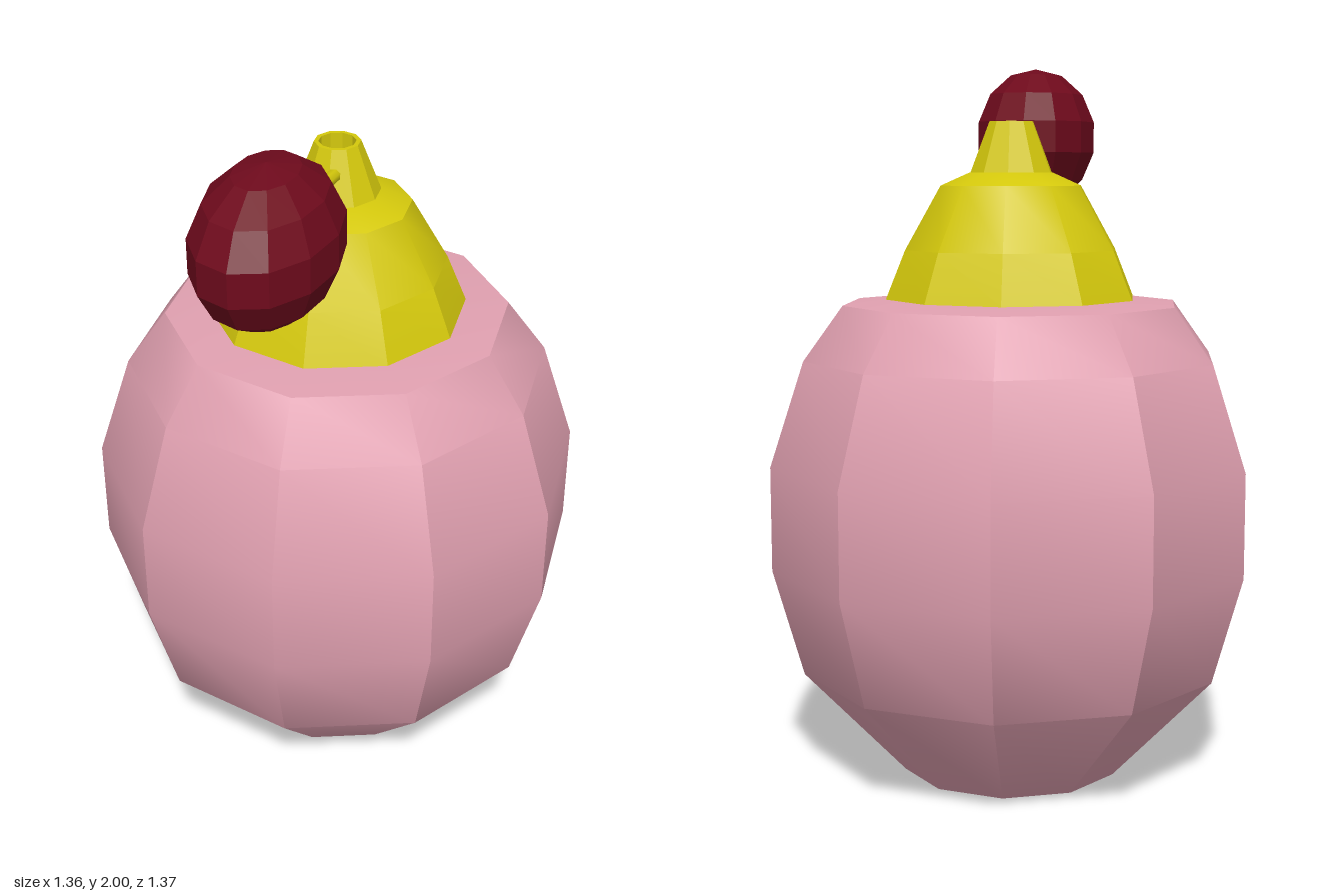
import * as THREE from 'three';
import { toCreasedNormals } from 'three/addons/utils/BufferGeometryUtils.js';

const SIDES = 10;
const AXIS_Z = -0.045; // centre line of the bottle

const pink = new THREE.MeshStandardMaterial({ color: 0xe0a0b0 });
const gold = new THREE.MeshStandardMaterial({ color: 0xd4c80c });
const red = new THREE.MeshStandardMaterial({ color: 0x6e0a1c, flatShading: true });

// Ten-sided turned part with a corner on the x axis
function turned(name, profile, material, creaseDegrees) {
  const points = profile.map(([r, y]) => new THREE.Vector2(r, y));
  const lathe = new THREE.LatheGeometry(points, SIDES, Math.PI / 2);
  const geometry = toCreasedNormals(lathe, THREE.MathUtils.degToRad(creaseDegrees));
  const mesh = new THREE.Mesh(geometry, material);
  mesh.name = name;
  mesh.position.z = AXIS_Z;
  return mesh;
}

// Thin straight tube between two points
function rod(name, from, to, radius, material) {
  const span = to.clone().sub(from);
  const mesh = new THREE.Mesh(new THREE.CylinderGeometry(radius, radius, span.length(), 8), material);
  mesh.name = name;
  mesh.position.copy(from).addScaledVector(span, 0.5);
  mesh.quaternion.setFromUnitVectors(new THREE.Vector3(0, 1, 0), span.normalize());
  return mesh;
}

export function createModel() {
  const model = new THREE.Group();
  model.name = 'perfumeBottle';

  // Faceted glass body with a flat base and shoulder
  model.add(turned('body', [
    [0, 0], [0.31, 0], [0.595, 0.3], [0.68, 0.6], [0.68, 0.89],
    [0.585, 1.18], [0.475, 1.33], [0.34, 1.343], [0, 1.343],
  ], pink, 32));

  // Domed collar
  model.add(turned('collar', [
    [0, 1.34], [0.355, 1.345], [0.3, 1.48], [0.2, 1.655], [0.12, 1.69], [0, 1.69],
  ], gold, 32));

  // Tapered nozzle with a recessed opening
  model.add(turned('nozzle', [
    [0.12, 1.68], [0.062, 1.83], [0.05, 1.83], [0.05, 1.74], [0, 1.74],
  ], gold, 30));

  // Feed tube from the nozzle to the bulb
  model.add(rod('feedTube',
    new THREE.Vector3(0, 1.763, 0), new THREE.Vector3(-0.12, 1.785, 0.25), 0.019, gold));

  // Squeeze bulb, stretched along the tube
  const bulb = new THREE.Mesh(new THREE.SphereGeometry(1, 12, 7), red);
  bulb.name = 'squeezeBulb';
  bulb.scale.set(0.182, 0.205, 0.268);
  bulb.rotation.y = -0.39;
  bulb.position.set(-0.195, 1.795, 0.44);
  model.add(bulb);

  return model;
}
